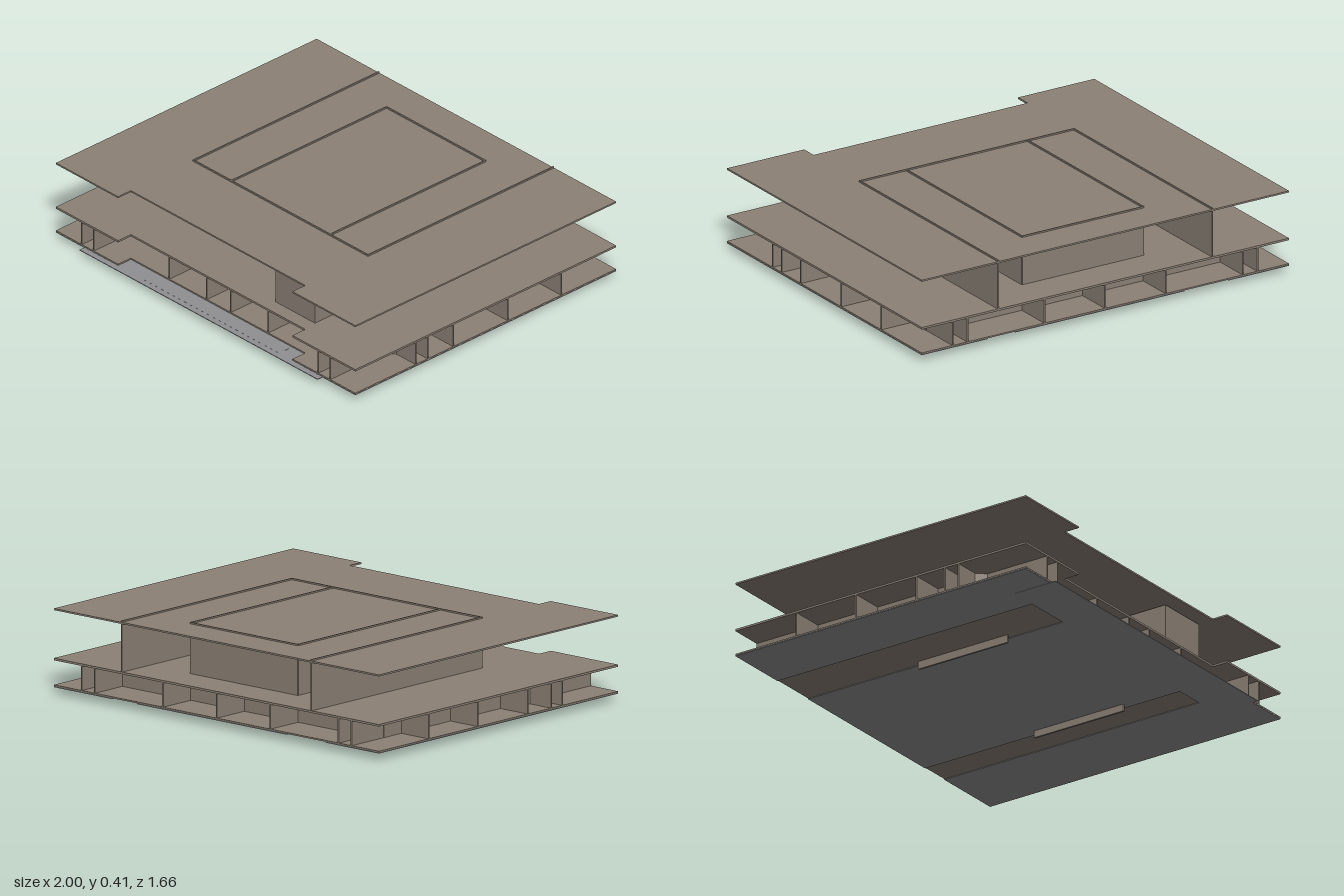
import * as THREE from 'three';

export function createModel() {
  const model = new THREE.Group();
  const stone = new THREE.MeshStandardMaterial({ color: 0x8c8176 });
  stone.name = 'warmStone';
  const grey = new THREE.MeshStandardMaterial({ color: 0x909093 });
  grey.name = 'concreteGrey';

  const BASE = 0.045, MID = 0.16, T = 0.007;

  function box(name, x0, x1, y0, y1, z0, z1, mat = stone) {
    const mesh = new THREE.Mesh(new THREE.BoxGeometry(x1 - x0, y1 - y0, z1 - z0), mat);
    mesh.position.set((x0 + x1) / 2, (y0 + y1) / 2, (z0 + z1) / 2);
    mesh.name = name;
    model.add(mesh);
    return mesh;
  }

  // Upright wall between two plan points
  function wall(name, xa, za, xb, zb, y0 = BASE, y1 = MID) {
    const mesh = new THREE.Mesh(
      new THREE.BoxGeometry(Math.hypot(xb - xa, zb - za), y1 - y0, T), stone);
    mesh.position.set((xa + xb) / 2, (y0 + y1) / 2, (za + zb) / 2);
    mesh.rotation.y = -Math.atan2(zb - za, xb - xa);
    mesh.name = name;
    model.add(mesh);
  }

  // Wall that turns through several plan points, s mirrors it in x
  function wallRun(name, s, points) {
    for (let i = 1; i < points.length; i++)
      wall(name, s * points[i - 1][0], points[i - 1][1], s * points[i][0], points[i][1]);
  }

  // Floor slab with a recess in its front edge
  function slab(name, y, thick) {
    const plan = [[-1, 0.83], [-1, -0.8], [-0.585, -0.8], [-0.585, -0.72],
      [0.58, -0.72], [0.58, -0.8], [1, -0.8], [1, 0.83]];
    const shape = new THREE.Shape(plan.map(([x, z]) => new THREE.Vector2(x, z)));
    const geo = new THREE.ExtrudeGeometry(shape, { depth: thick, bevelEnabled: false });
    geo.rotateX(-Math.PI / 2);
    const mesh = new THREE.Mesh(geo, stone);
    mesh.position.y = y;
    mesh.name = name;
    model.add(mesh);
  }

  slab('groundFloor', 0.038, 0.007);
  slab('upperFloor', MID, 0.01);
  slab('roof', 0.395, 0.008);

  // Grey underside panels, leaving two bare strips
  for (const [a, b] of [[-1, -0.67], [-0.43, 0.49], [0.64, 1]])
    box('undersidePanel', a, b, 0.034, 0.037, -0.83, 0.8, grey);
  box('frontTerrace', -0.81, 0.78, 0.033, 0.0365, 0.6, 0.83, grey);

  for (const s of [-1, 1]) {
    // Keel fins under the ground floor
    box('keelFin', s * 0.455 - 0.005, s * 0.455 + 0.005, 0, 0.038, -0.19, 0.31);

    // Front rooms, with cut corners at the corridor crossings
    wallRun('frontRoomWall', s, [[0.08, 0.72], [0.08, 0.465], [0.12, 0.42],
      [0.71, 0.42], [0.75, 0.465], [0.75, 0.8]]);
    wall('frontDivider', s * 0.33, 0.42, s * 0.33, 0.72);

    // Core of the building
    wallRun('coreWall', s, [[0, 0.345], [0.71, 0.345], [0.75, 0.3], [0.75, -0.83]]);
    wall('rearDivider', s * 0.33, -0.64, s * 0.33, -0.83);
    wall('rearRoomWall', 0, -0.64, s * 0.75, -0.64);

    // Side rooms along the outer edge
    wallRun('sideRoomWall', s, [[1, 0.345], [0.87, 0.345], [0.83, 0.3], [0.83, -0.83]]);
    wallRun('frontCornerRoomWall', s, [[1, 0.42], [0.87, 0.42], [0.83, 0.465], [0.83, 0.8]]);
    for (const z of [0.185, -0.155, -0.49])
      wall('sideDivider', s * 0.83, z, s, z);

    // Doors
    for (const z of [0.615, 0.245, 0.095, -0.245, -0.59])
      box('sideDoor', s * 0.83 - 0.0049, s * 0.83 + 0.0049, BASE, 0.11, z - 0.023, z + 0.023);
    box('frontDoor', s * 0.215 - 0.023, s * 0.215 + 0.023, BASE, 0.11, 0.4155, 0.425);

    // Slatted steps
    for (let i = 0; i < 6; i++)
      box('slattedStep', s * 0.455 - 0.025, s * 0.455 + 0.025,
        0.048 + i * 0.011, 0.053 + i * 0.011, 0.424 + (5 - i) * 0.012, 0.436 + (5 - i) * 0.012);

    // Upper hall and its inner room, rising just above the roof
    wall('upperHallSide', s * 0.583, 0.33, s * 0.583, -0.83, 0.17, 0.41);
    wall('innerRoomSide', s * 0.33, 0.33, s * 0.33, -0.64, 0.17, 0.41);
  }
  wall('rearMiddleDivider', 0, -0.64, 0, -0.83);
  box('mainDoor', -0.04, 0.04, BASE, 0.115, 0.3405, 0.35);
  wall('upperHallFront', -0.586, 0.33, 0.586, 0.33, 0.17, 0.41);
  wall('innerRoomBack', -0.33, -0.64, 0.33, -0.64, 0.17, 0.41);

  // Free-standing block on the upper floor
  box('upperBlock', 0.305, 0.57, 0.17, 0.387, 0.39, 0.65);

  return model;
}
